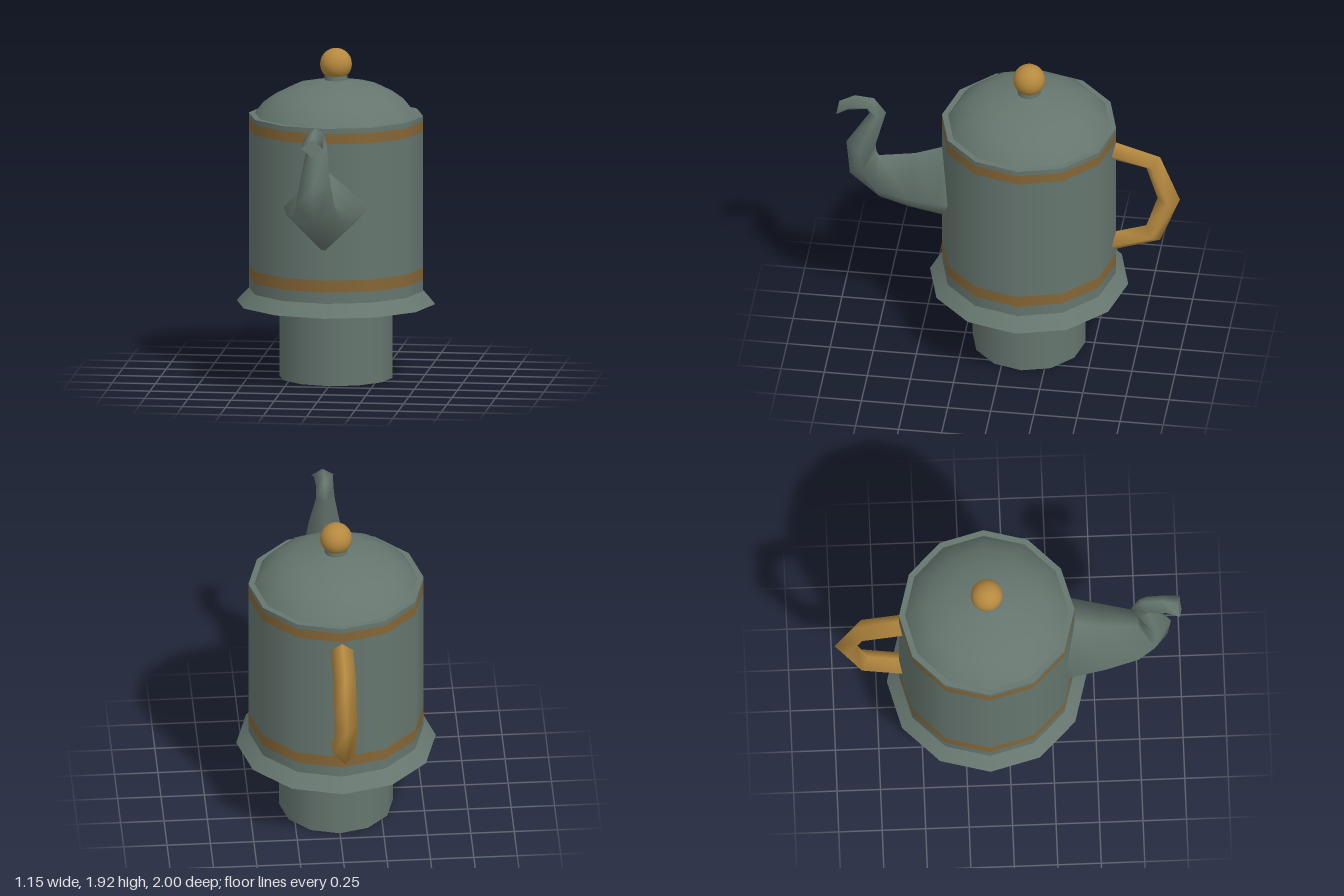
import * as THREE from 'three';

const AXIS_Z = -0.12; // centre line of the pot body
const SIDES = 12;

export function createModel() {
  const group = new THREE.Group();
  const material = (name, color) => {
    const m = new THREE.MeshStandardMaterial({ color });
    m.name = name;
    return m;
  };
  const grey = material('grey green', 0x66766f);
  const gold = material('gold', 0xb5893f);
  const bronze = material('dull bronze', 0x856636);

  const add = (name, geometry, mat, y = 0, z = 0) => {
    const mesh = new THREE.Mesh(geometry, mat);
    mesh.name = name;
    mesh.position.set(0, y, z);
    group.add(mesh);
    return mesh;
  };

  // Ring of the pot between two heights
  const ring = (name, y0, y1, r0, r1, mat, open = true) =>
    add(name, new THREE.CylinderGeometry(r1, r0, y1 - y0, SIDES, 1, open), mat, (y0 + y1) / 2, AXIS_Z);

  // Smooth diamond-section tube; each station is [z, y, z, y, half width]
  const loft = (stations, capEnd) => {
    const pos = [], index = [];
    const corners = ([az, ay, bz, by, w]) => {
      const mz = (az + bz) / 2, my = (ay + by) / 2;
      return [0, ay, az, w, my, mz, 0, by, bz, -w, my, mz];
    };
    stations.forEach((s, i) => {
      pos.push(...corners(s));
      if (i === 0) return;
      for (let j = 0; j < 4; j++) {
        const p = (i - 1) * 4 + j, q = (i - 1) * 4 + ((j + 1) % 4);
        index.push(p, p + 4, q, q, p + 4, q + 4);
      }
    });
    if (capEnd) {
      const n = pos.length / 3;
      pos.push(...corners(stations[stations.length - 1]));
      index.push(n, n + 2, n + 1, n, n + 3, n + 2);
    }
    const g = new THREE.BufferGeometry();
    g.setAttribute('position', new THREE.Float32BufferAttribute(pos, 3));
    g.setIndex(index);
    g.computeVertexNormals();
    return g;
  };

  // Foot, flared skirt and body with two flush bands
  ring('foot', 0, 0.44, 0.328, 0.328, grey, false);
  ring('skirt', 0.435, 0.51, 0.575, 0.505, grey, false);
  ring('bodyBottom', 0.51, 0.575, 0.505, 0.505, grey);
  ring('lowerBand', 0.575, 0.645, 0.505, 0.505, bronze);
  ring('bodyWall', 0.645, 1.44, 0.505, 0.505, grey);
  ring('upperBand', 1.44, 1.5, 0.505, 0.505, bronze);
  ring('bodyRim', 1.5, 1.53, 0.505, 0.505, grey, false);

  // Domed lid with its neck and knob
  const dome = [[0.47, 1.53], [0.42, 1.595], [0.35, 1.645], [0.24, 1.7], [0.07, 1.733], [0, 1.735]];
  add('lid', new THREE.LatheGeometry(dome.map(([r, y]) => new THREE.Vector2(r, y)), SIDES), grey, 0, AXIS_Z);
  ring('knobNeck', 1.72, 1.765, 0.068, 0.065, grey);
  add('knob', new THREE.SphereGeometry(0.092, 24, 16), gold, 1.824, AXIS_Z);

  // Curved spout: upper edge, lower edge, half width
  add('spout', loft([
    [0.28, 1.32, 0.28, 0.8, 0.25],
    [0.38, 1.3, 0.38, 0.82, 0.24],
    [0.54, 1.24, 0.58, 0.86, 0.2],
    [0.75, 1.205, 0.75, 0.915, 0.15],
    [0.765, 1.23, 0.92, 1.065, 0.115],
    [0.77, 1.28, 0.94, 1.285, 0.09],
    [0.71, 1.51, 0.805, 1.5, 0.055],
    [0.78, 1.605, 0.823, 1.525, 0.05],
    [0.89, 1.615, 0.935, 1.508, 0.055],
    [0.98, 1.567, 1.0, 1.47, 0.065],
  ], true), grey);

  // Handle from bottom to top: outer edge, inner edge, half width
  add('handle', loft([
    [-0.53, 0.645, -0.53, 0.77, 0.065],
    [-0.62, 0.675, -0.62, 0.8, 0.065],
    [-0.88, 0.765, -0.8, 0.86, 0.065],
    [-0.995, 1.06, -0.865, 1.06, 0.065],
    [-0.88, 1.35, -0.8, 1.265, 0.065],
    [-0.62, 1.43, -0.62, 1.305, 0.065],
    [-0.53, 1.46, -0.53, 1.335, 0.065],
  ], false), gold);

  return group;
}
